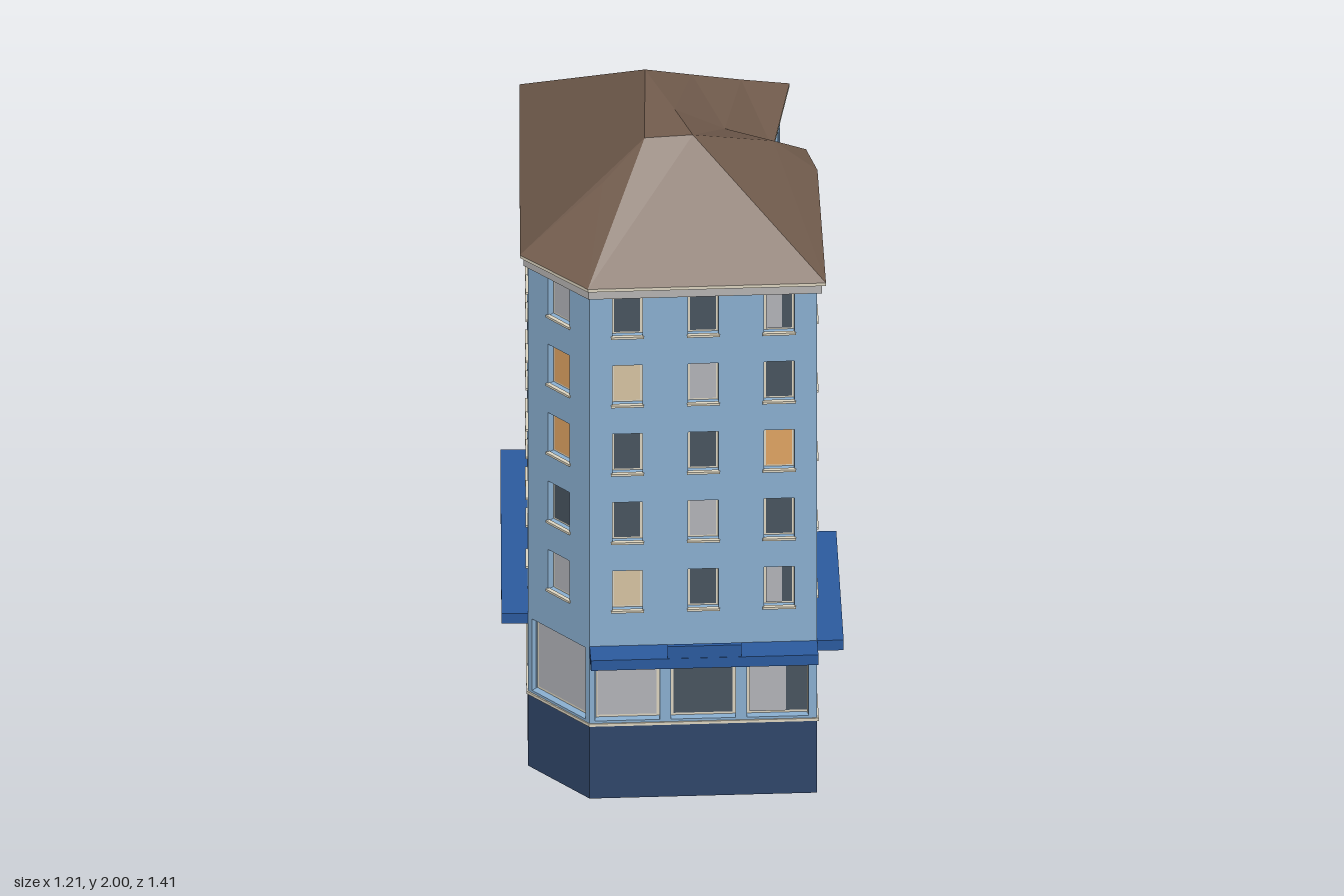
import * as THREE from 'three';

const mat = (name, color) => {
  const m = new THREE.MeshStandardMaterial({ color });
  m.name = name;
  return m;
};

// Corners as [x, z], running left to right around the building as seen from outside
const WALL = [[-0.525, 0.26], [-0.01, 0.648], [0.34, 0.195], [0.375, 0.11],
  [0.295, 0.04], [0.553, -0.192], [0, -0.648], [-0.548, 0.015]];
const EAVE = [[-0.54, 0.27], [0, 0.675], [0.36, 0.205], [0.405, 0.10],
  [0.335, 0.037], [0.59, -0.195], [0, -0.68], [-0.572, 0.008]];

// Window fillings per wall: five rows from the top, then the shop row
// d dark, g drawn blind, c half-drawn blind, o lit, b warm
const FACADES = [
  { name: 'frontFacade', rows: ['ddc', 'bgd', 'ddo', 'dgd', 'bdc'], shop: 'gdc', awning: true },
  { name: 'frontSideFacade', rows: ['ddc', 'cdg', 'dog', 'ggc', 'bdg'], shop: 'gdd', awning: true },
  { name: 'chamferFacade', rows: ['b', 'd', 'g', 'g', 'g'], shop: 'g', w: 0.045 },
  { name: 'notchFacade', rows: ['o', 'd', 'd', 'g', 'd'], shop: '', w: 0.068 },
  { name: 'sideFacade', rows: ['gg', 'og', 'og', 'cg', 'bg'], shop: 'bb', awning: true },
  { name: 'backFacade', rows: ['dodb', 'dogg', 'gggc', 'gcgc', 'gggo'], shop: 'gbgo', awning: true },
  { name: 'rearSideFacade', rows: ['gdgg', 'bgdg', 'dgog', 'gdgd', 'ogdo'], shop: 'cbob', awning: true },
  { name: 'narrowFacade', rows: ['g', 'o', 'o', 'd', 'g'], shop: 'g' },
];
const ROW_Y = [1.615, 1.385, 1.155, 0.925, 0.695];

const RECESS = 0.025;

export function createModel() {
  const group = new THREE.Group();
  group.name = 'cornerBuilding';
  const M = {
    wall: mat('wall blue', 0x8aafd0),
    base: mat('plinth navy', 0x30466a),
    awning: mat('awning blue', 0x2b5a9e),
    roof: mat('roof brown', 0x735d4e),
    cornice: mat('cornice grey', 0xb6b4b2),
    frame: mat('frame cream', 0xdcd4c0),
    d: mat('dark glass', 0x48545f),
    g: mat('blind grey', 0xb2b3b8),
    o: mat('lit window orange', 0xe0a463),
    b: mat('warm window beige', 0xd6c3a2),
  };

  const add = (parent, name, geo, material) => {
    const mesh = new THREE.Mesh(geo, material);
    mesh.name = name;
    parent.add(mesh);
    return mesh;
  };
  const box = (parent, name, w, h, d, x, y, z, material) => {
    add(parent, name, new THREE.BoxGeometry(w, h, d), material).position.set(x, y, z);
  };

  // Horizontal slab from an outline
  const slab = (name, pts, y0, y1, material) => {
    const shape = new THREE.Shape(pts.map(([x, z]) => new THREE.Vector2(x, -z)));
    const geo = new THREE.ExtrudeGeometry(shape, { depth: y1 - y0, bevelEnabled: false });
    geo.rotateX(-Math.PI / 2).translate(0, y0, 0);
    add(group, name, geo, material);
  };
  const mix = (t) => WALL.map(([x, z], i) => [x + (EAVE[i][0] - x) * t, z + (EAVE[i][1] - z) * t]);

  slab('plinth', WALL, 0, 0.245, M.base);
  slab('plinthLedge', mix(0.2), 0.243, 0.252, M.frame);
  slab('cornice', mix(0.55), 1.683, 1.712, M.cornice);
  slab('eaves', EAVE, 1.712, 1.722, M.frame);

  // Frame, pane and optional blind set back in an opening
  const addWindow = (parent, kind, x, y, w, h, rim) => {
    box(parent, 'windowFrame', w, h, 0.006, x, y, -RECESS, M.frame);
    const pw = w - rim * 2, ph = h - rim * 2;
    box(parent, 'windowPane', pw, ph, 0.006, x, y, -RECESS + 0.002, M[kind === 'c' ? 'd' : kind]);
    if (kind === 'c') {
      box(parent, 'windowBlind', pw * 0.62, ph, 0.006, x - pw * 0.19, y, -RECESS + 0.004, M.g);
    }
  };

  // One wall with pierced openings, windows and awning
  FACADES.forEach((f, i) => {
    const [x0, z0] = WALL[i], [x1, z1] = WALL[(i + 1) % WALL.length];
    const L = Math.hypot(x1 - x0, z1 - z0);
    const facade = new THREE.Group();
    facade.name = f.name;
    facade.position.set(x0, 0, z0);
    facade.rotation.y = Math.atan2(z0 - z1, x1 - x0);
    group.add(facade);

    const shape = new THREE.Shape();
    shape.moveTo(0, 0.245).lineTo(L, 0.245).lineTo(L, 1.69).lineTo(0, 1.69).closePath();
    const opening = (kind, x, y, w, h, rim) => {
      const p = new THREE.Path();
      p.moveTo(x - w / 2, y - h / 2).lineTo(x - w / 2, y + h / 2)
        .lineTo(x + w / 2, y + h / 2).lineTo(x + w / 2, y - h / 2).closePath();
      shape.holes.push(p);
      addWindow(facade, kind, x, y, w, h, rim);
    };

    const w = f.w || 0.086;
    f.rows.forEach((row, r) => [...row].forEach((kind, k) => {
      const x = (k + 0.5) * L / row.length;
      opening(kind, x, ROW_Y[r], w, 0.135, 0.006);
      box(facade, 'windowSill', w + 0.008, 0.007, 0.012, x, ROW_Y[r] - 0.068, 0, M.frame);
    }));
    [...f.shop].forEach((kind, k) => {
      const slot = L / f.shop.length;
      opening(kind, (k + 0.5) * slot, 0.38, slot - 0.032, 0.24, 0.008);
    });

    const geo = new THREE.ExtrudeGeometry(shape, { depth: RECESS, bevelEnabled: false });
    add(facade, 'wallPanel', geo.translate(0, 0, -RECESS), M.wall);
    if (f.awning) box(facade, 'awning', L, 0.034, 0.075, L / 2, 0.494, 0.0375, M.awning);
    if (i === 0) box(facade, 'signBoard', 0.21, 0.042, 0.012, L / 2, 0.53, 0.068, M.awning);
  });

  // Hipped roof: eave corners, flat crown, ridges and the valley above the notch
  const [G, F, E, D, C, B, A, H] = EAVE.map(([x, z]) => [x, 1.722, z]);
  const P1 = [-0.185, 2, 0.095], P2 = [-0.07, 2, 0.17], P3 = [0.045, 2, -0.18];
  const Q = [-0.024, 2, 0.035], V = [0.16, 1.86, 0.035], R = [0.26, 1.825, 0.13];
  const S = [-0.325, 1.9, 0.08], r1 = [0.22, 1.91, -0.182], r2 = [0.405, 1.815, -0.187];
  const faces = [
    [P1, P3, Q], [P1, Q, P2],
    [A, B, P3], [H, A, P1], [A, P3, P1], [H, P1, S],
    [H, S, G], [G, S, P1], [G, P1, P2], [G, P2, F],
    [F, P2, R], [F, R, E], [E, R, D], [D, R, C],
    [P2, Q, V], [P2, V, R], [R, V, C],
    [P3, Q, r1], [Q, V, r1], [V, r2, r1], [V, C, r2], [C, B, r2],
  ];
  const positions = faces.flatMap(([a, b, c]) => {
    const up = (b[2] - a[2]) * (c[0] - a[0]) - (b[0] - a[0]) * (c[2] - a[2]);
    return up > 0 ? [a, b, c].flat() : [a, c, b].flat();
  });
  const roof = new THREE.BufferGeometry();
  roof.setAttribute('position', new THREE.Float32BufferAttribute(positions, 3));
  roof.computeVertexNormals();
  add(group, 'roof', roof, M.roof);

  return group;
}
